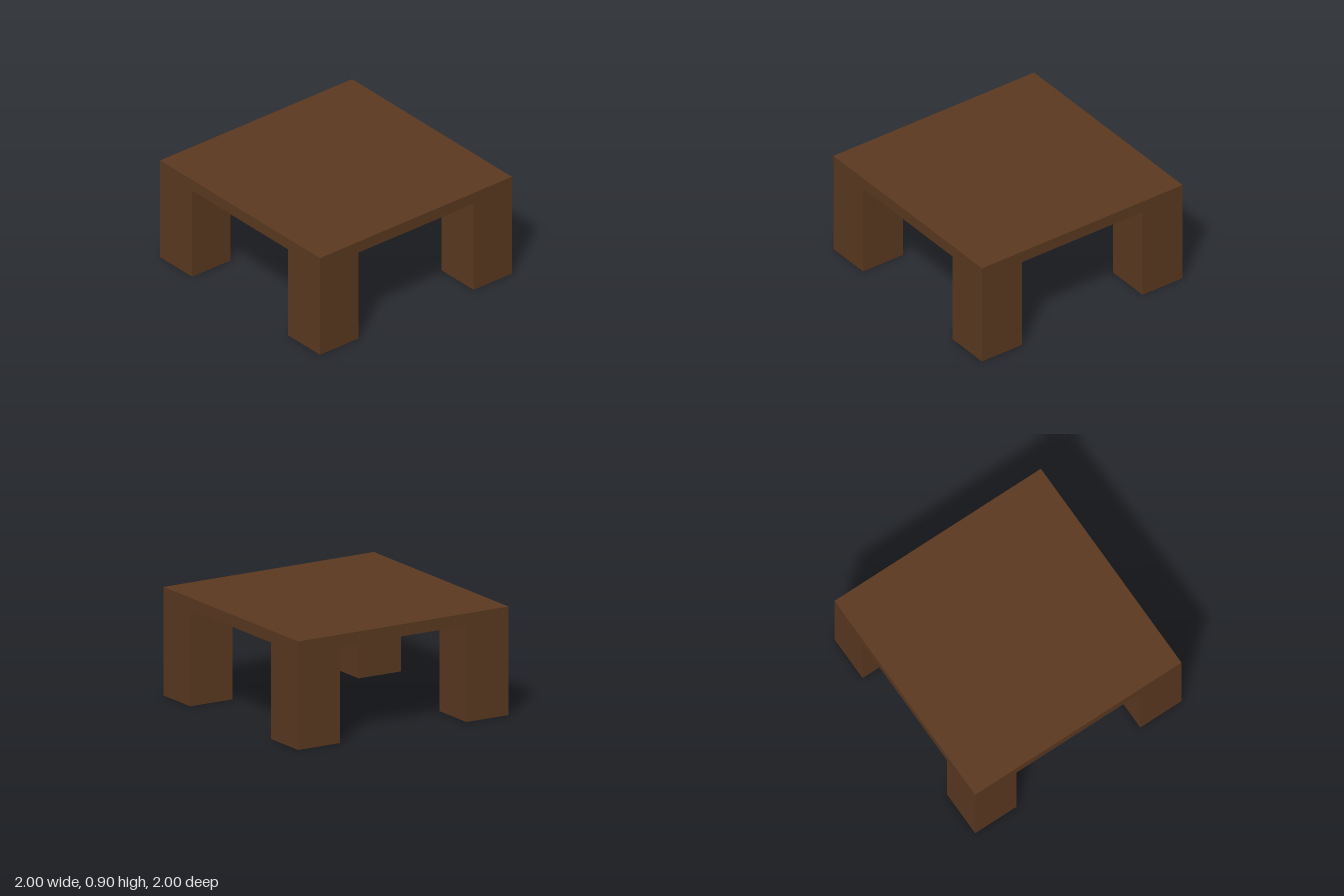
import * as THREE from 'three';

export function createModel() {
  const SIZE = 2, HEIGHT = 0.9, TOP = 0.1, LEG = 0.4;
  const legHeight = HEIGHT - TOP;

  const wood = new THREE.MeshStandardMaterial({ color: 0x5c3a21 });
  wood.name = 'dark brown wood';

  const table = new THREE.Group();
  table.name = 'table';

  // Square slab
  const tabletop = new THREE.Mesh(new THREE.BoxGeometry(SIZE, TOP, SIZE), wood);
  tabletop.name = 'tabletop';
  tabletop.position.y = HEIGHT - TOP / 2;
  table.add(tabletop);

  // Four square legs, flush with the corners
  const legGeometry = new THREE.BoxGeometry(LEG, legHeight, LEG);
  const offset = (SIZE - LEG) / 2;
  for (const [xName, x] of [['Left', 1], ['Right', -1]]) {
    for (const [zName, z] of [['front', 1], ['back', -1]]) {
      const leg = new THREE.Mesh(legGeometry, wood);
      leg.name = `${zName}${xName}Leg`;
      leg.position.set(x * offset, legHeight / 2, z * offset);
      table.add(leg);
    }
  }
  return table;
}
